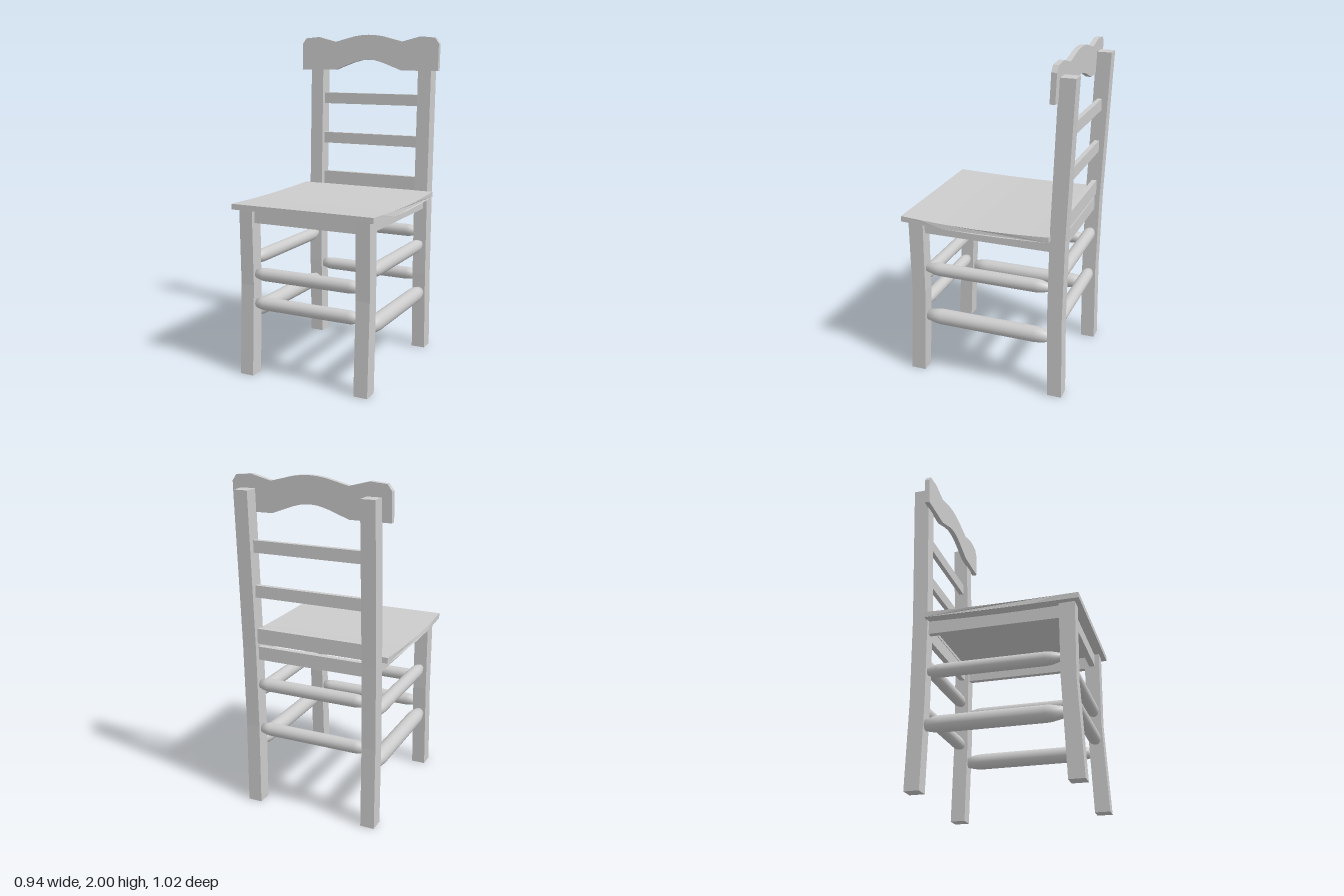
import * as THREE from 'three';

const material = new THREE.MeshStandardMaterial({ color: 0xcccccc, flatShading: true });
const smooth = new THREE.MeshStandardMaterial({ color: 0xcccccc });

export function createModel() {
  const group = new THREE.Group();

  const add = (name, geometry, x = 0, y = 0, z = 0, mat = material) => {
    const mesh = new THREE.Mesh(geometry, mat);
    mesh.name = name;
    mesh.position.set(x, y, z);
    group.add(mesh);
    return mesh;
  };
  const box = (name, w, h, d, x, y, z) => add(name, new THREE.BoxGeometry(w, h, d), x, y, z);
  const outline = (points) => new THREE.Shape(points.map(([x, y]) => new THREE.Vector2(x, y)));

  // Side profile given as [z, y], extruded across x and centred
  const sideExtrude = (points, width) =>
    new THREE.ExtrudeGeometry(outline(points), { depth: width, bevelEnabled: false })
      .rotateY(-Math.PI / 2)
      .translate(width / 2, 0, 0);

  // Round rung with tapered ends, lying along x or z
  const rung = (name, length, radius, endRadius, taper, x, y, z, alongZ) => {
    const h = length / 2;
    const profile = [
      [0, -h], [endRadius, -h], [radius * 0.94, -h + taper * 0.65], [radius, -h + taper],
      [radius, h - taper], [radius * 0.94, h - taper * 0.65], [endRadius, h], [0, h],
    ].map(([r, t]) => new THREE.Vector2(r, t));
    const mesh = add(name, new THREE.LatheGeometry(profile, 20), x, y, z, smooth);
    if (alongZ) mesh.rotation.x = Math.PI / 2;
    else mesh.rotation.z = Math.PI / 2;
  };

  // Legs, the rear pair rising into raked back posts
  const frontLeg = sideExtrude(
    [[0.413, 0], [0.503, 0], [0.475, 0.55], [0.481, 1], [0.389, 1], [0.39, 0.55]], 0.085);
  const backLeg = sideExtrude(
    [[-0.474, 0], [-0.386, 0], [-0.378, 0.5], [-0.384, 1], [-0.418, 1.91], [-0.51, 1.91],
      [-0.474, 1], [-0.466, 0.5]], 0.085);

  for (const [side, s] of [['left', 1], ['right', -1]]) {
    add(side + 'FrontLeg', frontLeg, s * 0.373);
    add(side + 'BackPost', backLeg, s * 0.373);
    box(side + 'Apron', 0.035, 0.08, 0.78, s * 0.373, 0.96, 0.003);
    rung(side + 'UpperRung', 0.775, 0.04, 0.022, 0.09, s * 0.373, 0.69, 0.003, true);
    rung(side + 'LowerRung', 0.775, 0.048, 0.033, 0.09, s * 0.373, 0.373, 0.003, true);
  }

  // Front and back rungs
  const cross = [
    ['frontUpperRung', 0.612, 0.432], ['frontLowerRung', 0.435, 0.437],
    ['backUpperRung', 0.763, -0.425], ['backLowerRung', 0.477, -0.423],
  ];
  for (const [name, y, z] of cross) rung(name, 0.664, 0.039, 0.027, 0.055, 0, y, z, false);

  // Aprons, back rail and slats
  box('frontApron', 0.67, 0.08, 0.035, 0, 0.96, 0.435);
  box('backApron', 0.67, 0.08, 0.035, 0, 0.96, -0.425);
  box('backRail', 0.67, 0.09, 0.03, 0, 1.067, -0.436);
  box('lowerSlat', 0.67, 0.07, 0.028, 0, 1.335, -0.442);
  box('upperSlat', 0.67, 0.07, 0.028, 0, 1.595, -0.448);

  // Seat, slightly dished and bowed out at the sides
  const seatZ = [0.51, 0.4, 0.25, 0.06, -0.13, -0.28, -0.39];
  const dip = (z) => 0.012 * Math.cos(((z - 0.06) / 0.45) * Math.PI / 2);
  const seat = sideExtrude([
    ...seatZ.map((z) => [z, 1.033 - dip(z)]),
    ...[...seatZ].reverse().map((z) => [z, 1.0 - dip(z) * 0.7]),
  ], 0.9);
  const p = seat.attributes.position;
  for (let i = 0; i < p.count; i++) {
    p.setX(i, Math.sign(p.getX(i)) * (0.45 + dip(p.getZ(i)) * 0.85));
  }
  seat.computeVertexNormals();
  add('seat', seat);

  // Scalloped crest rail
  const top = [[0.47, 1.945], [0.445, 1.98], [0.35, 1.988], [0.23, 1.957], [0.1, 1.99], [0.045, 1.998]];
  const bottom = [[0.045, 1.842], [0.1, 1.828], [0.23, 1.78], [0.47, 1.78]];
  const mirror = (points) => points.map(([x, y]) => [-x, y]).reverse();
  const crest = new THREE.ExtrudeGeometry(
    outline([...bottom, ...top, [0, 2], ...mirror(top), ...mirror(bottom), [0, 1.845]]),
    { depth: 0.031, bevelEnabled: false });
  // Lean the crest back with the posts
  const c = crest.attributes.position;
  for (let i = 0; i < c.count; i++) {
    c.setZ(i, c.getZ(i) - 0.418 - (c.getY(i) - 1.78) * 0.038);
  }
  crest.computeVertexNormals();
  add('crestRail', crest);

  return group;
}
